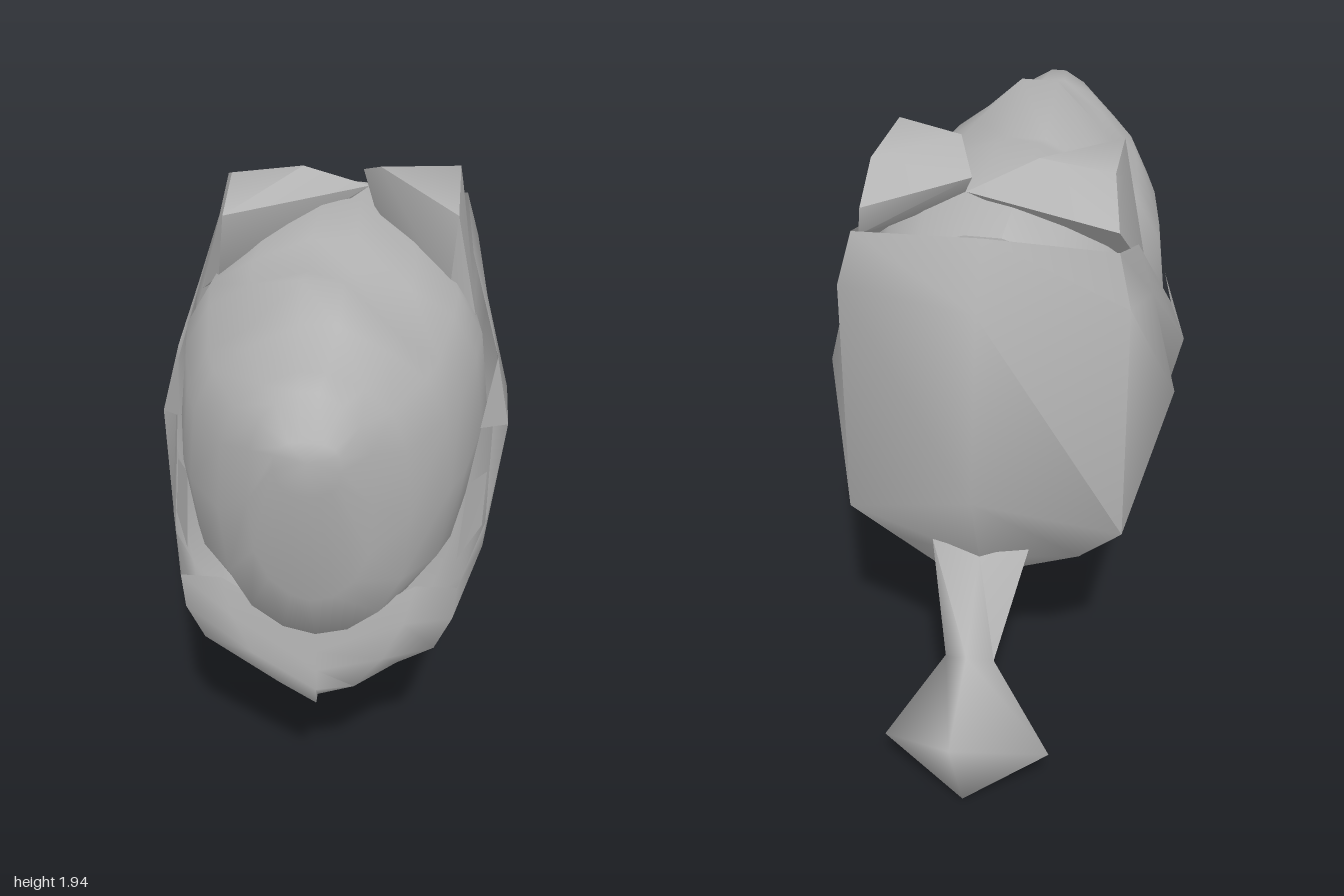
import * as THREE from 'three';
import { toCreasedNormals } from 'three/addons/utils/BufferGeometryUtils.js';
import { ConvexGeometry } from 'three/addons/geometries/ConvexGeometry.js';

// Skin a list of closed rings, each holding the same number of [x, y, z] points
function loft(rings) {
  const n = rings[0].length;
  const index = [];
  for (let r = 0; r < rings.length - 1; r++) {
    for (let i = 0; i < n; i++) {
      const a = r * n + i, b = r * n + (i + 1) % n;
      index.push(a, b, b + n, a, b + n, a + n);
    }
  }
  const geometry = new THREE.BufferGeometry();
  geometry.setAttribute('position', new THREE.Float32BufferAttribute(rings.flat(2), 3));
  geometry.setIndex(index);
  return geometry;
}

const mirror = ([x, y, z]) => [-x, y, z];

export function createModel() {
  const group = new THREE.Group();
  const grey = new THREE.MeshStandardMaterial({ color: 0xb4b4b4, side: THREE.DoubleSide });
  grey.name = 'grey';

  function add(name, geometry, crease = 0.9) {
    geometry.computeVertexNormals();
    const mesh = new THREE.Mesh(toCreasedNormals(geometry, crease), grey);
    mesh.name = name;
    group.add(mesh);
  }

  // Head: sections [z, bottom, shoulder top, half width, crest height], square above, tapering below
  const sections = [
    [1.0, 1.62, 1.62, 0, 1.62],
    [0.98, 1.5, 1.67, 0.09, 1.67],
    [0.9, 1.1, 1.75, 0.17, 1.77],
    [0.8, 0.9, 1.75, 0.265, 1.77],
    [0.62, 0.84, 1.76, 0.37, 1.81],
    [0.5, 0.82, 1.75, 0.41, 1.88],
    [0.25, 0.8, 1.76, 0.455, 1.78],
    [0.12, 0.8, 1.77, 0.47, 1.82],
    [-0.2, 0.8, 1.77, 0.42, 1.8],
    [-0.43, 0.9, 1.74, 0.38, 1.76],
    [-0.46, 1.3, 1.4, 0, 1.4],
  ];
  const headRings = sections.map(([z, bottom, top, width, crest]) => {
    const ring = [];
    for (let i = 0; i < 16; i++) {
      if (i === 4) {
        // flat-topped crest along the middle
        ring.push([width * 0.14, crest, z], [-width * 0.14, crest, z]);
        continue;
      }
      const angle = (i / 16) * Math.PI * 2;
      const c = Math.cos(angle), s = Math.sin(angle);
      const x = width * Math.sign(c) * Math.abs(c) ** (i > 8 ? 1.1 : 0.7);
      const y = (top + bottom) / 2 + ((top - bottom) / 2) * Math.sign(s) * Math.abs(s) ** 0.72;
      ring.push([x, y, z]);
    }
    return ring;
  });
  add('head', loft(headRings), 1.3);

  // Hood: columns from keel up to rim, going from the back round to the front
  const columns = [
    [[0, 0.54, -0.47], [0, 0.73, -0.535], [0, 1.0, -0.645], [0, 1.57, -0.545], [0, 1.76, -0.44]],
    [[0, 0.5, -0.3], [0.29, 0.68, -0.41], [0.425, 0.81, -0.45], [0.425, 1.58, -0.45], [0.385, 1.74, -0.42]],
    [[0, 0.45, -0.15], [0.4, 0.79, -0.13], [0.54, 1.17, -0.18], [0.46, 1.5, -0.18], [0.41, 1.65, -0.17]],
    [[0, 0.41, 0.02], [0.4, 0.79, 0.08], [0.49, 0.99, 0.1], [0.54, 1.2, 0.1], [0.5, 1.38, 0.0]],
    [[0, 0.57, 0.42], [0.3, 0.7, 0.4], [0.42, 0.82, 0.38], [0.475, 0.92, 0.36], [0.48, 1.0, 0.35]],
    [[0, 0.6, 0.6], [0.23, 0.69, 0.66], [0.34, 0.78, 0.69], [0.39, 0.9, 0.7], [0.4, 1.015, 0.7]],
    [[0, 0.62, 0.74], [0.11, 0.68, 0.765], [0.19, 0.78, 0.755], [0.25, 0.9, 0.735], [0.28, 1.02, 0.71]],
    [[0, 0.63, 0.79], [0, 0.68, 0.79], [0, 0.75, 0.785], [0, 0.82, 0.785], [0, 0.89, 0.785]],
  ];
  const loop = [...columns, ...columns.slice(1, -1).reverse().map((col) => col.map(mirror))];
  const hoodRings = [0, 1, 2, 3, 4].map((row) => loop.map((col) => col[row]));
  add('hood', loft(hoodRings), 1.4);

  // Pointed barbs along the hood rim and small flaps on the cheeks
  const barb = [[0.5, 1.38, 0], [0.45, 1.32, 0.32], [0.54, 1.2, 0.1]];
  const flap = [[0.395, 1.04, 0.6], [0.42, 1.17, 0.4], [0.48, 1.1, 0.22], [0.47, 0.99, 0.35]];
  for (const side of [1, -1]) {
    for (const [name, points] of [['RimBarb', barb], ['CheekFlap', flap]]) {
      const geometry = new THREE.BufferGeometry();
      const placed = side > 0 ? points : points.map(mirror);
      geometry.setAttribute('position', new THREE.Float32BufferAttribute(placed.flat(), 3));
      const index = points.length > 3 ? [0, 2, 1, 0, 3, 2] : [0, 2, 1];
      geometry.setIndex(side > 0 ? index : index.reverse());
      add((side > 0 ? 'left' : 'right') + name, geometry);
    }
  }

  // Ears: folded wedges resting on the head, each side slightly different
  const ears = {
    leftEar: [[0.06, 1.87, -0.28], [0.12, 1.94, -0.14], [0.36, 1.89, 0.08], [0.37, 1.79, -0.37],
      [0.43, 1.51, 0.04], [0.34, 1.62, 0.06], [0.36, 1.9, -0.26], [0.12, 1.74, -0.15], [0.38, 1.7, -0.36]],
    rightEar: [[0.08, 1.82, -0.27], [-0.12, 1.91, -0.2], [-0.33, 1.87, 0.09], [-0.38, 1.79, -0.4],
      [-0.43, 1.53, -0.1], [-0.34, 1.88, -0.2], [-0.35, 1.67, 0.08], [-0.1, 1.74, -0.13]],
  };
  for (const [name, points] of Object.entries(ears)) {
    add(name, new ConvexGeometry(points.map((p) => new THREE.Vector3(...p))));
  }

  // Tail: stalk narrowing from the hood, then widening into a diamond-shaped tip
  const diamond = (back, [x, y, z], front) => [back, [x, y, z], front, [-x, y, z]];
  const tip = [0, 0.005, -0.83];
  add('tail', loft([
    diamond(tip, tip, tip),
    diamond([0, 0.36, -1], [0.26, 0.17, -0.76], [0, 0.06, -0.32]),
    diamond([0, 0.5, -0.74], [0.075, 0.46, -0.69], [0, 0.42, -0.65]),
    diamond([0, 0.74, -0.53], [0.15, 0.76, -0.51], [0, 0.54, -0.41]),
  ]), 1.9);

  return group;
}
